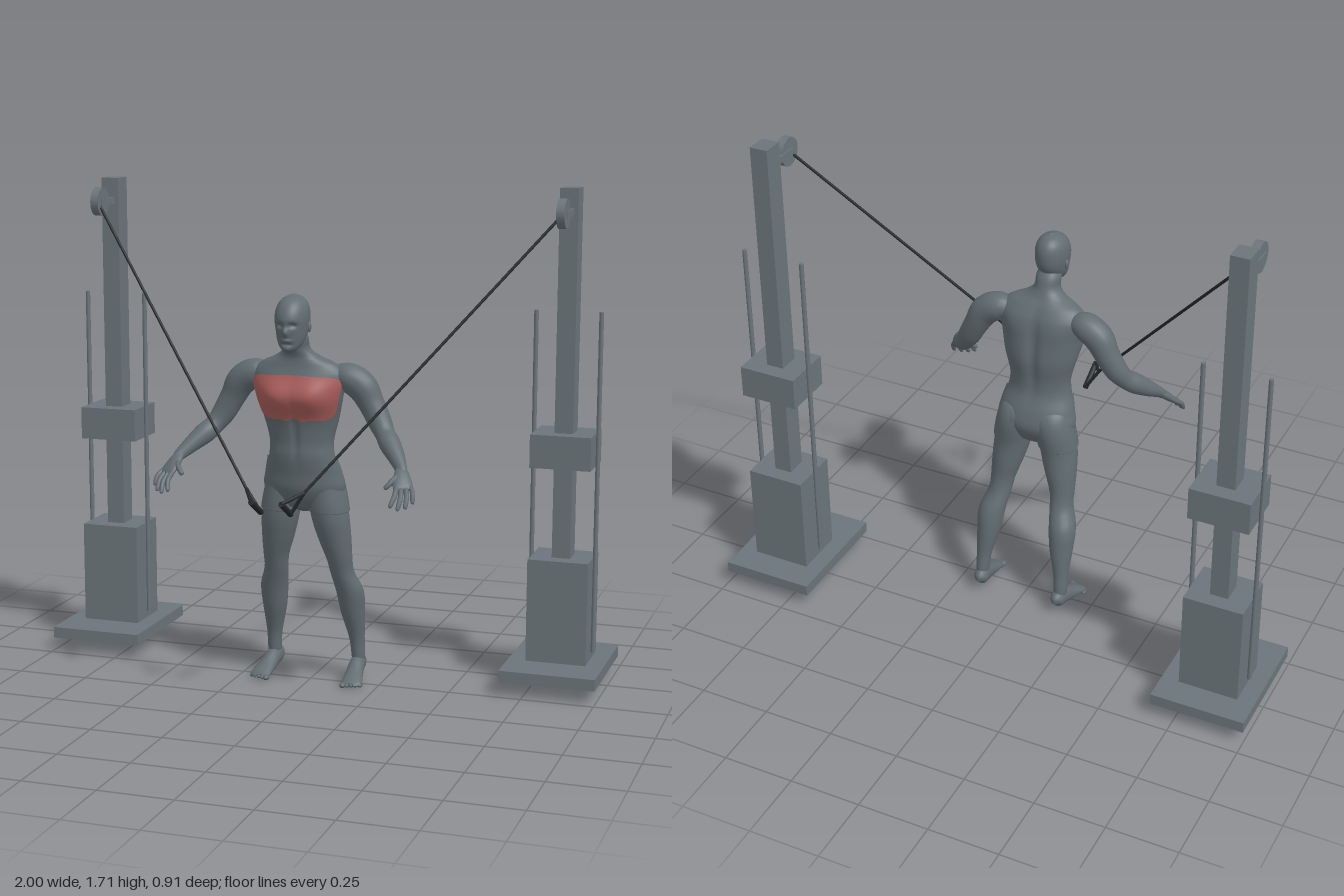
import * as THREE from 'three';
import { ParametricGeometry } from 'three/addons/geometries/ParametricGeometry.js';

const mat = (name, color) => new THREE.MeshStandardMaterial({ name, color });
const steel = mat('steel', 0x6b757b);
const skin = mat('body grey', 0x626d72);
const red = mat('chest red', 0xac5f5c);
const dark = mat('cable black', 0x26292b);
const V = (x, y, z) => new THREE.Vector3(x, y, z);

function add(parent, name, geometry, material, x = 0, y = 0, z = 0) {
  const mesh = new THREE.Mesh(geometry, material);
  mesh.name = name;
  mesh.position.set(x, y, z);
  parent.add(mesh);
  return mesh;
}

// Smooth interpolation of rows whose first number is the key
function sample(rows, k) {
  let i = 0;
  while (i < rows.length - 2 && k > rows[i + 1][0]) i++;
  const a = rows[i], b = rows[i + 1], p = rows[Math.max(i - 1, 0)], n = rows[Math.min(i + 2, rows.length - 1)];
  const h = b[0] - a[0], t = THREE.MathUtils.clamp((k - a[0]) / h, 0, 1), t2 = t * t, t3 = t2 * t;
  return a.map((_, c) => {
    const m0 = (b[c] - p[c]) / (b[0] - p[0]) * h, m1 = (n[c] - a[c]) / (n[0] - a[0]) * h;
    return (2 * t3 - 3 * t2 + 1) * a[c] + (t3 - 2 * t2 + t) * m0 + (3 * t2 - 2 * t3) * b[c] + (t3 - t2) * m1;
  });
}
const ease = v => 0.9 * (1 - Math.cos(Math.PI * v)) / 2 + 0.1 * v;

// Point on a stack of horizontal ovals; rows are [y, x, z, rx, rz]
function ovalPoint(rows, y, a, target, grow = 0, shape) {
  const [, x, z, rx, rz] = sample(rows, y);
  const s = Math.sin(a), c = Math.cos(a);
  target.set(x + (Math.max(rx, 0.001) + grow) * s, y, z + (Math.max(rz, 0.001) + grow) * c);
  if (shape) shape(target, c);
}
function loft(rows, { from = rows[0][0], to = rows[rows.length - 1][0], grow = 0, shape, slices = 32, stacks = 40 } = {}) {
  return new ParametricGeometry((u, v, target) =>
    ovalPoint(rows, from + (to - from) * ease(v), u * Math.PI * 2, target, grow, shape), slices, stacks);
}

// Swept limb; rows are [x, y, z, radius along side, other radius]
function limb(rows, side = V(0, 0, 1), slices = 16, stacks = 28) {
  const keyed = rows.map((r, i) => [i, ...r]), end = rows.length - 1;
  const centre = k => V(...sample(keyed, k).slice(1, 4));
  return new ParametricGeometry((u, v, target) => {
    const k = v * end, r = sample(keyed, k), a = u * Math.PI * 2;
    const t = centre(Math.min(k + 0.05, end)).sub(centre(Math.max(k - 0.05, 0))).normalize();
    const s = side.clone().addScaledVector(t, -side.dot(t)).normalize();
    const w = t.clone().cross(s);
    target.set(r[1], r[2], r[3])
      .addScaledVector(s, Math.max(r[4], 0.0005) * Math.cos(a))
      .addScaledVector(w, Math.max(r[5], 0.0005) * Math.sin(a));
  }, slices, stacks);
}

function rod(parent, name, a, b, radius, material) {
  const mesh = add(parent, name, new THREE.CylinderGeometry(radius, radius, a.distanceTo(b), 10), material);
  mesh.position.copy(a).add(b).multiplyScalar(0.5);
  mesh.quaternion.setFromUnitVectors(V(0, 1, 0), b.clone().sub(a).normalize());
}
function ball(parent, name, x, y, z, rx, ry, rz) {
  add(parent, name, new THREE.SphereGeometry(1, 16, 12), skin, x, y, z).scale.set(rx, ry, rz);
}
const bump = (p, x, y, sx, sy) => Math.exp(-(((p.x - x) / sx) ** 2) - ((p.y - y) / sy) ** 2);

const torsoRows = [
  [0.62, 0, 0.06, 0.02, 0.02], [0.64, 0, 0.06, 0.09, 0.05], [0.70, 0, 0.062, 0.137, 0.08],
  [0.76, 0, 0.072, 0.130, 0.08], [0.82, 0, 0.09, 0.115, 0.073], [0.87, 0, 0.092, 0.112, 0.071],
  [0.95, 0, 0.095, 0.132, 0.08], [1.03, 0, 0.113, 0.152, 0.087], [1.10, 0, 0.113, 0.165, 0.073],
  [1.14, 0, 0.12, 0.13, 0.058], [1.165, 0, 0.13, 0.075, 0.048], [1.19, 0, 0.142, 0.046, 0.046],
  [1.23, 0, 0.157, 0.043, 0.045], [1.26, 0, 0.165, 0.03, 0.03]];
// Pectorals, navel line and spine groove
function muscles(p, c) {
  const front = Math.max(c, 0), back = Math.max(-c, 0);
  p.z += front * 0.02 * (bump(p, 0.07, 1.03, 0.06, 0.06) + bump(p, -0.07, 1.03, 0.06, 0.06));
  p.z -= front * 0.006 * bump(p, 0, 0.9, 0.012, 0.1);
  p.z += back * 0.012 * bump(p, 0, 0.98, 0.022, 0.14);
  p.z -= back * 0.008 * (bump(p, 0.085, 1.07, 0.05, 0.07) + bump(p, -0.085, 1.07, 0.05, 0.07));
}

const headRows = [
  [1.185, 0, 0.222, 0.01, 0.014], [1.20, 0, 0.215, 0.03, 0.033], [1.225, 0, 0.20, 0.045, 0.053],
  [1.26, 0, 0.188, 0.053, 0.072], [1.30, 0, 0.186, 0.057, 0.079], [1.34, 0, 0.18, 0.05, 0.067],
  [1.365, 0, 0.175, 0.03, 0.04], [1.376, 0, 0.172, 0.003, 0.004]];
// Eye sockets, brow, nose, lips
function face(p, c) {
  if (c <= 0) return;
  p.z += c * (-0.012 * (bump(p, 0.023, 1.279, 0.013, 0.009) + bump(p, -0.023, 1.279, 0.013, 0.009))
    + 0.014 * bump(p, 0, 1.256, 0.009, 0.013) + 0.006 * bump(p, 0, 1.228, 0.018, 0.006)
    - 0.006 * bump(p, 0, 1.215, 0.018, 0.005) + 0.005 * bump(p, 0, 1.198, 0.018, 0.01));
}

const legRows = [
  [0.035, 0.154, -0.066, 0.016, 0.02], [0.08, 0.155, -0.064, 0.023, 0.028], [0.15, 0.152, -0.055, 0.027, 0.03],
  [0.25, 0.143, -0.034, 0.042, 0.045], [0.33, 0.138, -0.015, 0.048, 0.051], [0.40, 0.120, 0.015, 0.041, 0.045],
  [0.45, 0.115, 0.03, 0.044, 0.048], [0.52, 0.103, 0.043, 0.056, 0.059], [0.60, 0.090, 0.055, 0.065, 0.067],
  [0.70, 0.074, 0.054, 0.064, 0.073], [0.76, 0.068, 0.06, 0.05, 0.06], [0.79, 0.065, 0.065, 0.02, 0.02]];

function buildSide() {
  const side = new THREE.Group();
  // Leg with a shorts cuff
  add(side, 'leg', loft(legRows, { slices: 24 }), skin);
  add(side, 'shortsLeg', loft(legRows, { from: 0.625, grow: 0.005, slices: 24, stacks: 16 }), skin);
  add(side, 'shortsHem', new THREE.TorusGeometry(1, 0.05, 6, 28).rotateX(Math.PI / 2), skin, 0.087, 0.625, 0.055)
    .scale.set(0.066, 0.06, 0.069);
  // Foot and toes
  add(side, 'foot', limb([[0.152, 0.05, -0.11, 0.006, 0.008], [0.152, 0.057, -0.092, 0.024, 0.029],
    [0.155, 0.053, -0.05, 0.027, 0.034], [0.16, 0.035, 0, 0.031, 0.025], [0.166, 0.021, 0.045, 0.036, 0.015],
    [0.169, 0.014, 0.066, 0.031, 0.008], [0.169, 0.013, 0.07, 0.002, 0.002]], V(1, 0, 0)), skin);
  for (let i = 0; i < 5; i++)
    ball(side, 'toe', 0.14 + i * 0.0145, 0.012, 0.07 - i * 0.005, i ? 0.0075 : 0.011, i ? 0.008 : 0.01, 0.016);
  // Arm
  add(side, 'arm', limb([[0.11, 1.09, 0.105, 0.03, 0.03], [0.16, 1.095, 0.10, 0.05, 0.048],
    [0.212, 1.065, 0.097, 0.05, 0.052], [0.245, 1.01, 0.095, 0.044, 0.044], [0.278, 0.95, 0.103, 0.039, 0.04],
    [0.303, 0.912, 0.122, 0.034, 0.034], [0.328, 0.885, 0.15, 0.036, 0.036], [0.36, 0.853, 0.187, 0.029, 0.029],
    [0.388, 0.822, 0.225, 0.018, 0.021], [0.395, 0.81, 0.238, 0.016, 0.018]], V(0, 0, 1), 20, 40), skin);
  // Hand
  const across = V(0.8, 0.12, -0.58);
  add(side, 'palm', limb([[0.386, 0.826, 0.222, 0.015, 0.012], [0.398, 0.803, 0.248, 0.027, 0.015],
    [0.409, 0.777, 0.275, 0.033, 0.013], [0.415, 0.765, 0.288, 0.03, 0.008], [0.416, 0.763, 0.29, 0.001, 0.001]],
    across, 16, 16), skin);
  const tips = [[0.385, 0.715, 0.348], [0.41, 0.706, 0.345], [0.432, 0.71, 0.33], [0.45, 0.724, 0.306]];
  const finger = (name, a, b, r) => {
    const at = t => a.clone().lerp(b, t).add(V(0.006, 0.006, 0.004).multiplyScalar(4 * t * (1 - t))).toArray();
    add(side, name, limb([[...at(0), r, r], [...at(0.5), r, r], [...at(0.93), r * 0.8, r * 0.8], [...at(1), 0, 0]],
      across, 10, 12), skin);
  };
  tips.forEach((tip, i) => finger('finger', V(0.412, 0.772, 0.28).addScaledVector(across, (i - 1.5) * 0.016), V(...tip), 0.0085));
  finger('thumb', V(0.388, 0.805, 0.25), V(0.353, 0.765, 0.298), 0.01);
  // Ear and buttock
  ball(side, 'ear', 0.056, 1.268, 0.178, 0.006, 0.018, 0.011);
  ball(side, 'buttock', 0.062, 0.715, 0.042, 0.062, 0.068, 0.063);

  // Cable tower
  const box = (name, w, h, d, y, z) => add(side, name, new THREE.BoxGeometry(w, h, d), steel, 0.833, y, z);
  box('towerBase', 0.332, 0.04, 0.432, 0.07, -0.235);
  box('weightStack', 0.21, 0.36, 0.185, 0.27, -0.257);
  box('slidingBlock', 0.21, 0.115, 0.185, 0.828, -0.257);
  box('column', 0.064, 1.625, 0.076, 0.9025, -0.257);
  box('pulleyArm', 0.036, 0.024, 0.12, 1.635, -0.17);
  for (const x of [0.722, 0.945])
    add(side, 'guideRod', new THREE.CylinderGeometry(0.008, 0.008, 1.185, 12), steel, x, 0.7075, -0.257);
  add(side, 'pulley', new THREE.CylinderGeometry(0.05, 0.05, 0.028, 32).rotateZ(Math.PI / 2), steel, 0.833, 1.637, -0.13);
  // Cable and triangular handle
  const apex = V(0.1, 0.748, 0.362), top = V(0.052, 0.725, 0.45), low = V(0.052, 0.672, 0.357);
  rod(side, 'cable', V(0.83, 1.63, -0.115), apex, 0.005, dark);
  rod(side, 'handleStrap', apex, top, 0.006, dark);
  rod(side, 'handleStrap', apex, low, 0.006, dark);
  rod(side, 'handleGrip', top, low, 0.01, dark);
  return side;
}

export function createModel() {
  const model = new THREE.Group();
  model.name = 'cableMachineExercise';
  add(model, 'torso', loft(torsoRows, { shape: muscles, slices: 64, stacks: 64 }), skin);
  add(model, 'shorts', loft(torsoRows, { from: 0.64, to: 0.815, grow: 0.005, shape: muscles, slices: 48, stacks: 20 }), skin);
  add(model, 'head', loft(headRows, { shape: face, slices: 72, stacks: 64 }), skin);
  // Highlighted chest muscles lying just over the torso
  add(model, 'chestMuscles', new ParametricGeometry((u, v, target) => {
    const k = 2 * v - 1, reach = 1.25 * Math.pow(Math.max(1 - k ** 6, 0.01), 0.4);
    const a = (2 * u - 1) * reach;
    const y = 0.945 + 0.16 * v + 0.012 * (1 - v) * Math.exp(-((a / 0.15) ** 2));
    ovalPoint(torsoRows, y, a, target, 0.003, muscles);
  }, 48, 28), red);
  const left = buildSide();
  left.name = 'leftSide';
  const right = left.clone();
  right.name = 'rightSide';
  right.scale.x = -1;
  model.add(left, right);
  return model;
}
